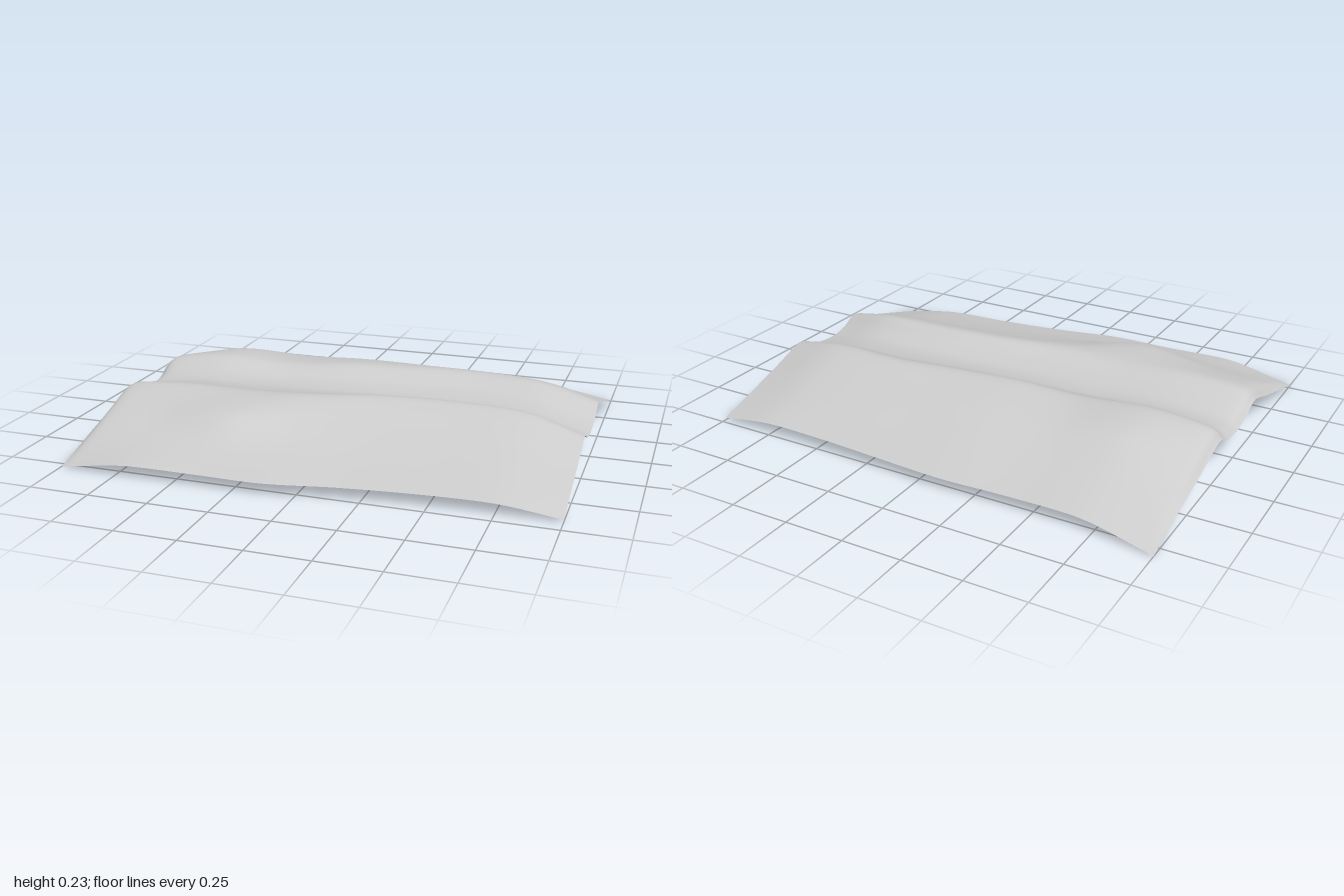
import * as THREE from 'three';

// Stations along x; each has a cross-section running from the back edge to the front edge
const stationX = [-1, -0.94, -0.7, -0.4, -0.12, 0.15, 0.45, 0.75, 1];

// Columns: back edge, slope, shoulder, ridge, channel (3), ridge, shoulder, slope, front edge
const depth = [
  [-0.81, -0.60, -0.38, -0.18, -0.08, 0.03, 0.13, 0.24, 0.40, 0.60, 0.78],
  [-0.80, -0.60, -0.38, -0.18, -0.08, 0.03, 0.13, 0.24, 0.41, 0.60, 0.785],
  [-0.78, -0.58, -0.38, -0.18, -0.08, 0.02, 0.13, 0.24, 0.42, 0.61, 0.805],
  [-0.775, -0.58, -0.40, -0.20, -0.09, 0.01, 0.12, 0.24, 0.47, 0.62, 0.80],
  [-0.785, -0.60, -0.42, -0.22, -0.11, 0.00, 0.10, 0.22, 0.40, 0.59, 0.80],
  [-0.77, -0.60, -0.43, -0.25, -0.13, -0.02, 0.08, 0.17, 0.36, 0.55, 0.75],
  [-0.75, -0.60, -0.44, -0.28, -0.16, -0.03, 0.06, 0.15, 0.34, 0.53, 0.715],
  [-0.74, -0.58, -0.42, -0.25, -0.14, -0.01, 0.08, 0.16, 0.34, 0.52, 0.70],
  [-0.73, -0.55, -0.38, -0.21, -0.10, 0.03, 0.12, 0.21, 0.37, 0.53, 0.68],
];
const height = [
  [0.005, 0.06, 0.11, 0.16, 0.123, 0.112, 0.127, 0.16, 0.112, 0.056, 0.005],
  [0.016, 0.085, 0.155, 0.205, 0.16, 0.145, 0.165, 0.20, 0.155, 0.085, 0.016],
  [0.055, 0.13, 0.21, 0.232, 0.185, 0.17, 0.187, 0.218, 0.175, 0.105, 0.055],
  [0.055, 0.13, 0.195, 0.218, 0.18, 0.172, 0.188, 0.215, 0.196, 0.115, 0.055],
  [0.055, 0.13, 0.20, 0.234, 0.188, 0.175, 0.192, 0.222, 0.175, 0.11, 0.055],
  [0.055, 0.125, 0.195, 0.235, 0.19, 0.175, 0.197, 0.228, 0.165, 0.105, 0.055],
  [0.055, 0.12, 0.185, 0.232, 0.19, 0.173, 0.197, 0.228, 0.16, 0.102, 0.055],
  [0.052, 0.11, 0.172, 0.222, 0.178, 0.163, 0.187, 0.218, 0.152, 0.098, 0.052],
  [0.015, 0.068, 0.12, 0.17, 0.128, 0.113, 0.13, 0.163, 0.107, 0.06, 0.015],
];

const smooth = (points, count) =>
  new THREE.CatmullRomCurve3(points, false, 'catmullrom', 0.45).getPoints(count);

function terrainGeometry(alongX, alongZ) {
  // Smooth each cross-section, then smooth lengthwise through matching points
  const sections = stationX.map((x, i) =>
    smooth(depth[i].map((z, j) => new THREE.Vector3(x, height[i][j], z)), alongZ));
  const lines = sections[0].map((_, j) => smooth(sections.map((s) => s[j]), alongX));

  const positions = [];
  const indices = [];
  lines.forEach((line) => line.forEach((p) => positions.push(p.x, Math.max(0, p.y), p.z)));
  for (let j = 0; j < alongZ; j++) {
    for (let i = 0; i < alongX; i++) {
      const a = j * (alongX + 1) + i;
      const c = a + alongX + 1;
      indices.push(a, c, a + 1, a + 1, c, c + 1);
    }
  }
  const geometry = new THREE.BufferGeometry();
  geometry.setAttribute('position', new THREE.Float32BufferAttribute(positions, 3));
  geometry.setIndex(indices);
  geometry.computeVertexNormals();
  return geometry;
}

export function createModel() {
  const group = new THREE.Group();
  group.name = 'channelTerrain';

  const ground = new THREE.MeshStandardMaterial({ color: 0xcccccc, side: THREE.DoubleSide });
  ground.name = 'light grey ground';

  // Open sheet with a channel between two banks
  const terrain = new THREE.Mesh(terrainGeometry(48, 60), ground);
  terrain.name = 'terrainSurface';
  group.add(terrain);
  return group;
}
